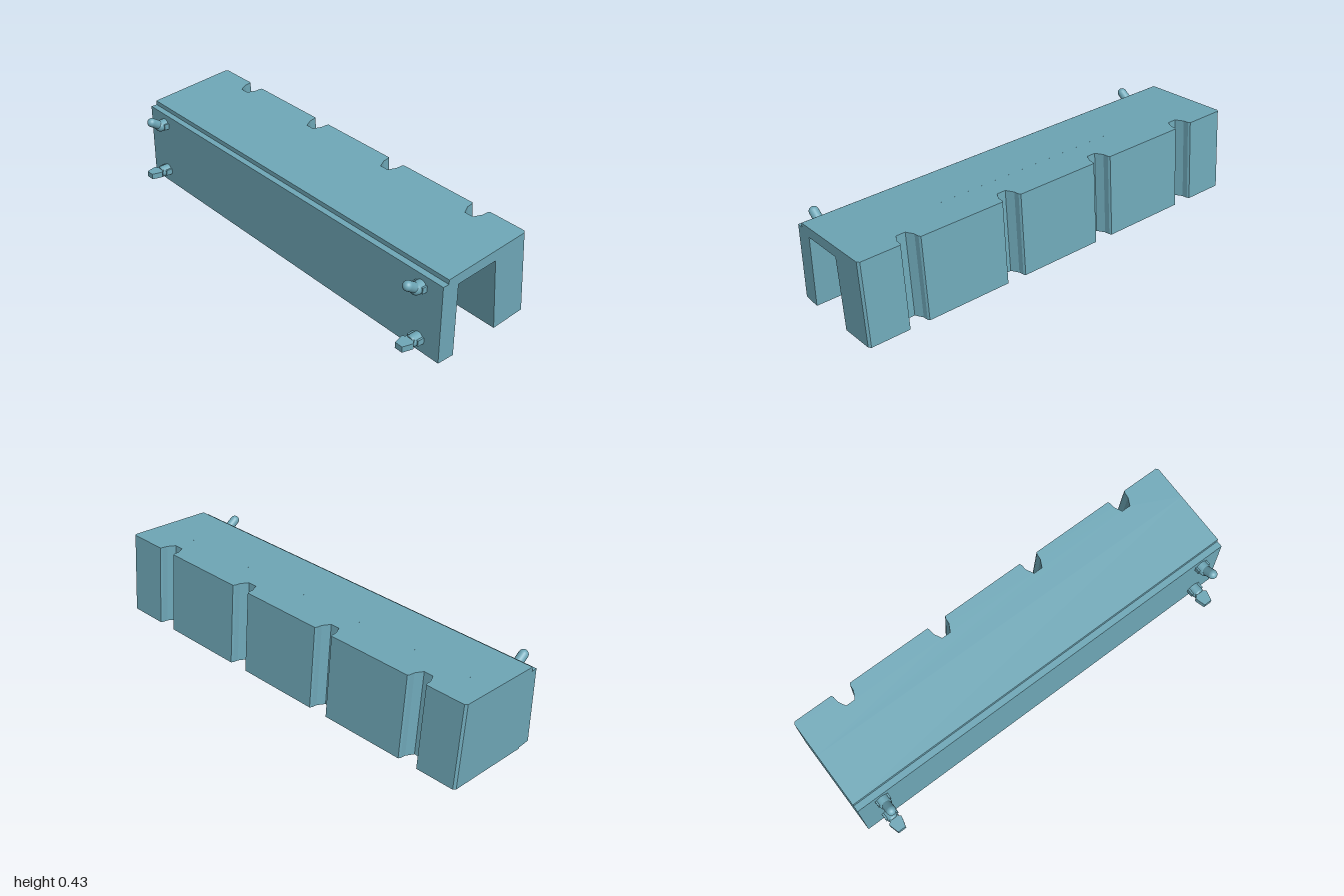
import * as THREE from 'three';

const material = new THREE.MeshStandardMaterial({ color: 0x6fa8b8 });
const TILT = THREE.MathUtils.degToRad(5);

function add(parent, name, geometry, x = 0, y = 0, z = 0) {
  const mesh = new THREE.Mesh(geometry, material);
  mesh.name = name;
  mesh.position.set(x, y, z);
  parent.add(mesh);
  return mesh;
}

const toShape = (points) => new THREE.Shape(points.map(([a, b]) => new THREE.Vector2(a, b)));

// Section given as [z, y] points, swept along x
function sweepX(points, x0, x1) {
  const g = new THREE.ExtrudeGeometry(toShape(points), { depth: x1 - x0, bevelEnabled: false });
  return g.rotateY(-Math.PI / 2).translate(x1, 0, 0);
}

// Plan given as [x, z] points, raised along y
function raiseY(points, height) {
  const g = new THREE.ExtrudeGeometry(toShape(points.map(([x, z]) => [x, -z])), { depth: height, bevelEnabled: false });
  return g.rotateX(-Math.PI / 2);
}

// Round stud along z, with two side keys
function addStudBase(peg) {
  const profile = [[0, 0], [0.027, 0], [0.027, 0.042], [0.022, 0.05], [0, 0.05]];
  for (const [i, p] of profile.slice(1).entries()) {
    if (i === 3) break;
    const q = profile[i + 2];
    const ring = new THREE.LatheGeometry([new THREE.Vector2(...p), new THREE.Vector2(...q)], 24);
    add(peg, 'studRing', ring.rotateX(Math.PI / 2));
  }
  for (const s of [-1, 1]) add(peg, 'sideKey', new THREE.BoxGeometry(0.016, 0.028, 0.034), s * 0.024, 0, 0.017);
}

// Bent hook that leans upward
function addHook(parent, x) {
  const peg = new THREE.Group();
  peg.name = 'upperHook';
  peg.position.set(x, 0.322, 0.194);
  const stem = new THREE.CylinderGeometry(0.028, 0.028, 0.03, 24).rotateX(Math.PI / 2);
  add(peg, 'hookStem', stem, 0, 0, 0.015);
  add(peg, 'hookElbow', new THREE.SphereGeometry(0.028, 24, 16), 0, 0, 0.03);
  const from = new THREE.Vector3(0, 0, 0.028), to = new THREE.Vector3(0, 0.033, 0.077);
  const arm = add(peg, 'hookArm', new THREE.CapsuleGeometry(0.022, from.distanceTo(to), 8, 24));
  arm.position.copy(from).lerp(to, 0.5);
  arm.quaternion.setFromUnitVectors(new THREE.Vector3(0, 1, 0), to.clone().sub(from).normalize());
  for (const s of [-1, 1]) add(peg, 'sideKey', new THREE.BoxGeometry(0.016, 0.028, 0.026), s * 0.024, 0, 0.013);
  parent.add(peg);
}

// Straight stud with a flat barbed tip
function addClip(parent, x) {
  const peg = new THREE.Group();
  peg.name = 'lowerClip';
  peg.position.set(x, 0.071, 0.194);
  addStudBase(peg);
  const half = [[0.02, 0.03], [0.022, 0.052], [0.033, 0.06], [0.031, 0.072], [0.02, 0.111]];
  const outline = [...half, ...half.map(([px, pz]) => [-px, pz]).reverse()];
  add(peg, 'barbedTip', raiseY(outline, 0.028), 0, 0.003 - 0.014, 0);
  parent.add(peg);
}

export function createModel() {
  const model = new THREE.Group();
  model.name = 'hangingRack';

  // Front plate and sloping roof in one section
  add(model, 'frontPlateAndRoof', sweepX([
    [0.196, 0.007], [0.196, 0.375], [0.166, 0.375], [0.166, 0.396],
    [-0.0912, 0.4185], [-0.0955, 0.369], [0.112, 0.353], [0.112, 0.007],
  ], -1, 1));

  // Leaning back wall with four upright grooves and chamfered corners
  const plan = [[-1, 0.178], [-1, 0.011], [-0.991, 0]];
  const groove = [[-0.048, 0], [-0.043, 0.01], [-0.041, 0.036], [-0.022, 0.073],
    [0.022, 0.073], [0.041, 0.036], [0.043, 0.01], [0.048, 0]];
  for (let i = 0; i < 4; i++) {
    const cx = -0.757 + i * 0.5047;
    for (const [x, z] of groove) plan.push([cx + x, z]);
  }
  plan.push([0.991, 0], [1, 0.011], [1, 0.178]);
  const wall = add(model, 'groovedBackWall', raiseY(plan, 0.3955), 0, 0.04, -0.303);
  wall.rotation.x = TILT;

  // Wall closing the channel at one end
  add(model, 'endWall', sweepX([
    [0.132, 0.001], [0.132, 0.007], [0.112, 0.02], [0.112, 0.353], [-0.0955, 0.369], [-0.1257, 0.0245],
  ], -1, -0.97));

  // Mounting pegs on the front
  for (const s of [-1, 1]) {
    addHook(model, s * 0.885);
    addClip(model, s * 0.885);
  }
  return model;
}
